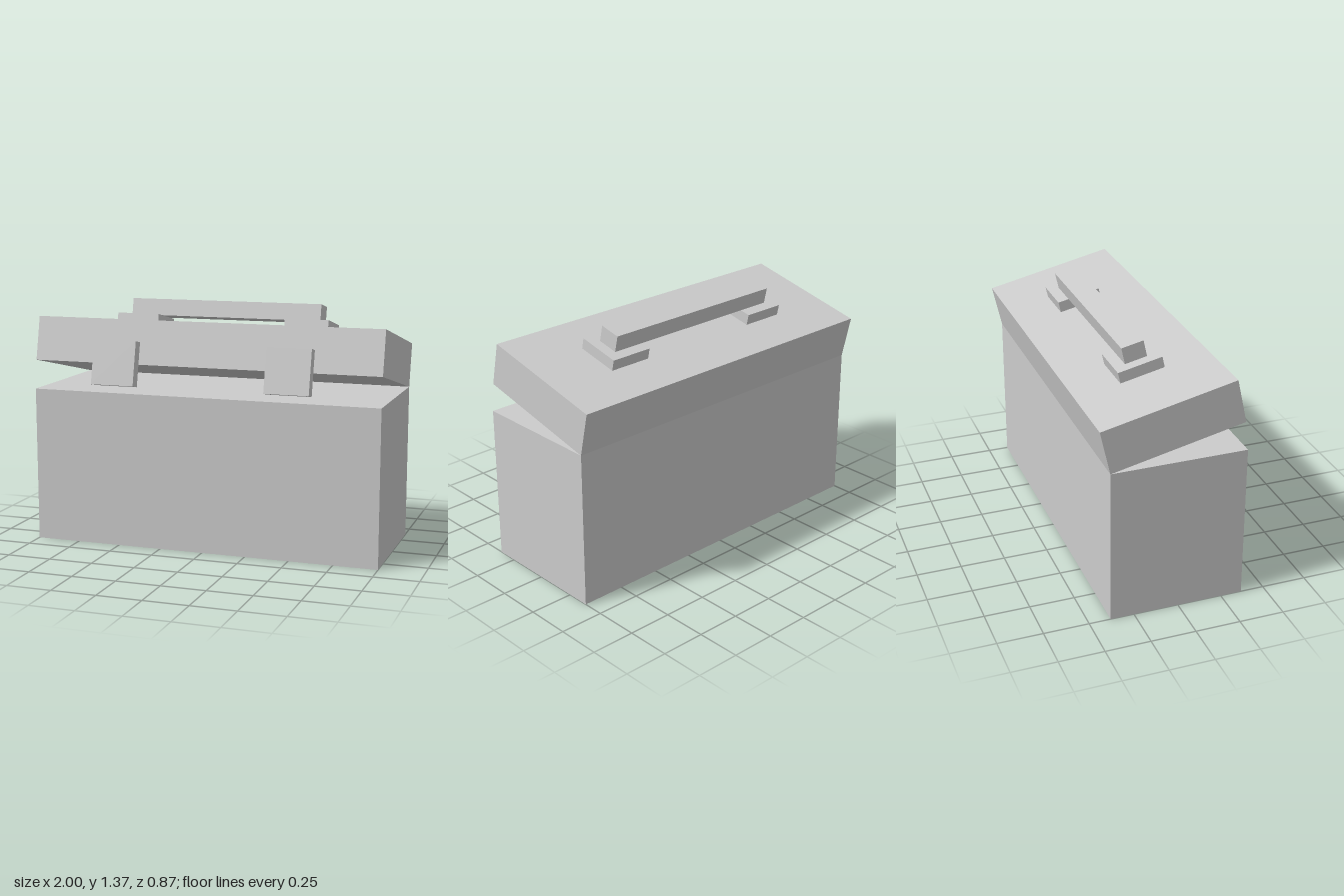
import * as THREE from 'three';

const material = new THREE.MeshStandardMaterial({ color: 0xcccccc, flatShading: true });

// Box placed by its minimum corner and size
function block(name, [x, y, z], [w, h, d]) {
  const geometry = new THREE.BoxGeometry(w, h, d);
  geometry.translate(x + w / 2, y + h / 2, z + d / 2);
  const mesh = new THREE.Mesh(geometry, material);
  mesh.name = name;
  return mesh;
}

export function createModel() {
  const model = new THREE.Group();
  model.name = 'toolbox';
  const width = 2, depth = 0.75, bodyHeight = 0.876, backZ = -0.381;

  // Main box
  model.add(block('body', [-width / 2, 0, backZ], [width, bodyHeight, depth]));

  // Lid assembly, tilted open about the rear top edge
  const lid = new THREE.Group();
  lid.name = 'lidAssembly';
  lid.position.set(0, bodyHeight, backZ);
  lid.rotation.x = -0.22;
  lid.add(block('lid', [-width / 2, 0, 0], [width, 0.25, depth]));

  // Front latches and handle mounts, one pair per side
  for (const [side, x] of [['left', 0.375], ['right', -0.625]]) {
    lid.add(block(side + 'Latch', [x, -0.125, depth], [0.25, 0.25, 0.0625]));
    lid.add(block(side + 'HandleMount', [x, 0.25, 0.25], [0.25, 0.0625, 0.25]));
  }

  // Handle bar resting on the mounts
  lid.add(block('handle', [-0.5625, 0.3125, 0.3125], [1.125, 0.094, 0.125]));

  model.add(lid);
  return model;
}
